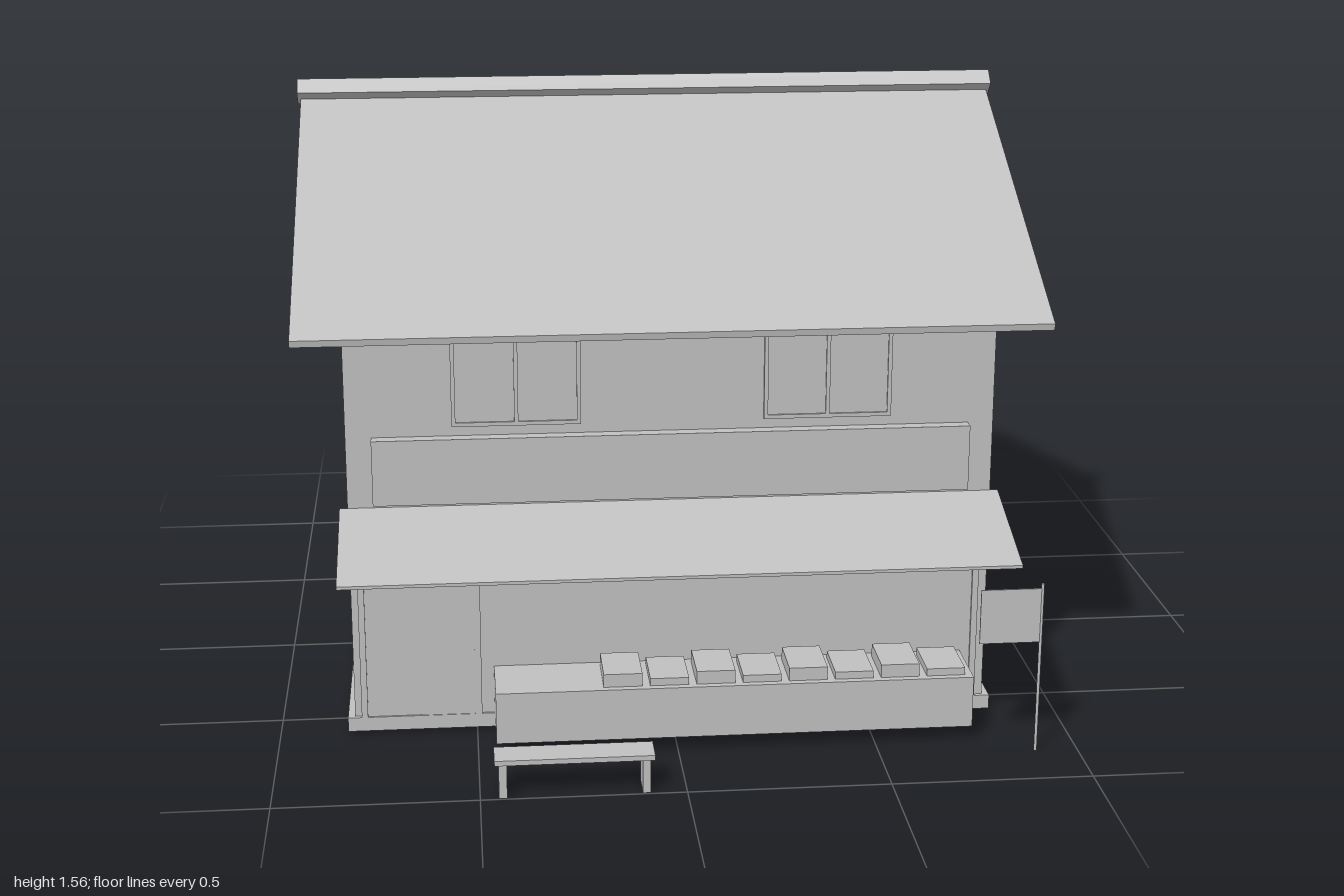
import * as THREE from 'three';

export function createModel() {
  const model = new THREE.Group();
  model.name = 'shopHouse';
  const grey = new THREE.MeshStandardMaterial({ color: 0xbfbfbf });
  grey.name = 'plain grey';

  const add = (name, geometry, parent = model) => {
    const mesh = new THREE.Mesh(geometry, grey);
    mesh.name = name;
    parent.add(mesh);
    return mesh;
  };
  // Box given by its limits on each axis
  const box = (name, x0, x1, y0, y1, z0, z1, parent) => {
    const g = new THREE.BoxGeometry(x1 - x0, y1 - y0, z1 - z0);
    g.translate((x0 + x1) / 2, (y0 + y1) / 2, (z0 + z1) / 2);
    return add(name, g, parent);
  };
  // Side profile of [z, y] points, swept along x and centred
  const sweep = (name, width, points) => {
    const shape = new THREE.Shape(points.map(([z, y]) => new THREE.Vector2(z, y)));
    const g = new THREE.ExtrudeGeometry(shape, { depth: width, bevelEnabled: false });
    g.rotateY(-Math.PI / 2).translate(width / 2, 0, 0);
    return add(name, g);
  };
  const group = (name) => {
    const g = new THREE.Group();
    g.name = name;
    model.add(g);
    return g;
  };

  // Foundation and gabled body
  box('foundation', -0.828, 0.828, 0.01, 0.047, -0.895, 0.605);
  sweep('walls', 1.62, [[-0.885, 0.03], [0.595, 0.03], [0.595, 1.112], [-0.145, 1.498], [-0.885, 1.112]]);

  // Roof slabs and the square ridge beam set on its corner
  sweep('roof', 1.857, [
    [0.705, 1.055], [0.708, 1.072], [-0.147, 1.518], [-1.0, 1.072], [-0.998, 1.055], [-0.147, 1.499],
  ]);
  sweep('ridgeBeam', 1.874, [[-0.147, 1.496], [-0.114, 1.53], [-0.147, 1.563], [-0.18, 1.53]]);

  // Sloping awning and sign board
  sweep('awning', 1.66, [[0.594, 0.6], [0.885, 0.505], [0.885, 0.513], [0.594, 0.608]]);
  box('signBoard', -0.746, 0.746, 0.622, 0.79, 0.59, 0.627);

  // Upper windows, each with two panes between slim bars
  for (const side of [-1, 1]) {
    const win = group(side < 0 ? 'rightWindow' : 'leftWindow');
    const cx = side * 0.388;
    box('windowPane', cx - 0.16, cx + 0.16, 0.815, 1.04, 0.59, 0.599, win);
    for (const dx of [-0.155, 0, 0.155])
      box('windowBar', cx + dx - 0.005, cx + dx + 0.005, 0.815, 1.04, 0.594, 0.604, win);
    for (const y of [0.82, 1.035])
      box('windowRail', cx - 0.16, cx + 0.16, y - 0.005, y + 0.005, 0.594, 0.604, win);
  }

  // Ground floor shopfront: sliding doors, wall panel and posts
  const front = group('shopfront');
  box('doorLeaf', -0.78, -0.64, 0.047, 0.57, 0.59, 0.6, front);
  box('doorLeaf', -0.64, -0.5, 0.047, 0.57, 0.59, 0.603, front);
  box('shopPanel', -0.49, 0.775, 0.047, 0.57, 0.59, 0.599, front);
  for (const x of [-0.785, -0.495, 0.78])
    box('post', x - 0.008, x + 0.008, 0.047, 0.57, 0.59, 0.605, front);

  // Counter with a row of crates of alternating height
  box('counter', -0.455, 0.746, 0.04, 0.174, 0.59, 0.775);
  const crates = group('crates');
  for (let i = 0; i < 8; i++) {
    const x = -0.186 + i * 0.1165;
    box('crate', x, x + 0.097, 0.174, i % 2 ? 0.193 : 0.208, 0.62, 0.757, crates);
  }

  // Bench
  const bench = group('bench');
  box('benchSeat', -0.465, -0.078, 0.087, 0.1, 0.92, 1.0, bench);
  for (const x of [-0.445, -0.098])
    box('benchLeg', x - 0.01, x + 0.01, 0, 0.088, 0.925, 0.995, bench);

  // Flag on a thin pole
  const banner = group('banner');
  add('flagPole', new THREE.CylinderGeometry(0.004, 0.004, 0.445, 8), banner).position.set(0.888, 0.2325, 0.863);
  box('flag', 0.735, 0.886, 0.302, 0.443, 0.861, 0.865, banner);

  return model;
}
